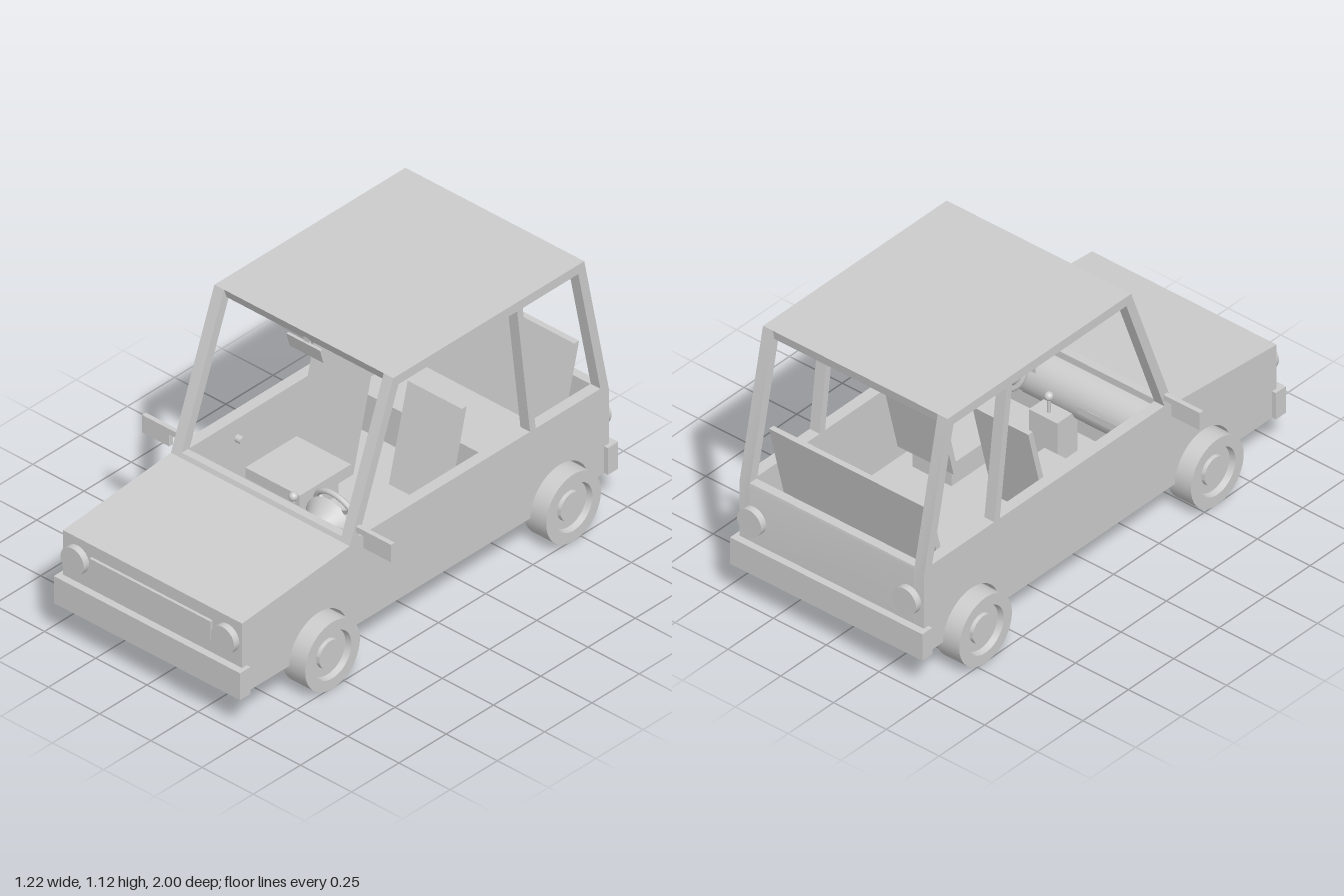
import * as THREE from 'three';
import { toCreasedNormals } from 'three/addons/utils/BufferGeometryUtils.js';

const grey = new THREE.MeshStandardMaterial({ color: 0xcccccc });
const ARCH_R = 0.155, AXLE_Y = 0.145, AXLES = [-0.71, 0.565];
const WIDTH = 0.437, INNER = 0.39;

export function createModel() {
  const car = new THREE.Group();
  car.name = 'car';

  const add = (name, geometry, x = 0, y = 0, z = 0) => {
    const mesh = new THREE.Mesh(geometry, grey);
    mesh.name = name;
    mesh.position.set(x, y, z);
    car.add(mesh);
    return mesh;
  };
  // Box given by its extents
  const box = (name, x0, x1, y0, y1, z0, z1) =>
    add(name, new THREE.BoxGeometry(x1 - x0, y1 - y0, z1 - z0), (x0 + x1) / 2, (y0 + y1) / 2, (z0 + z1) / 2);
  // Side profile drawn in (z, y) and extruded from x0 to x1
  const slab = (name, shape, x0, x1) => {
    const geo = new THREE.ExtrudeGeometry(shape, { depth: x1 - x0, bevelEnabled: false, curveSegments: 24 });
    geo.rotateY(-Math.PI / 2).translate(x1, 0, 0);
    return add(name, toCreasedNormals(geo, 0.5));
  };
  const poly = (pts) => new THREE.Shape(pts.map(([z, y]) => new THREE.Vector2(z, y)));
  // Underside from rear to front with the wheel arches cut out, then the given upper points
  const bodyProfile = (upper) => {
    const s = new THREE.Shape();
    s.moveTo(-0.97, AXLE_Y);
    for (const z of AXLES) {
      s.lineTo(z - ARCH_R, AXLE_Y);
      s.absarc(z, AXLE_Y, ARCH_R, Math.PI, 0, true);
    }
    s.lineTo(0.97, AXLE_Y);
    upper.forEach(([z, y]) => s.lineTo(z, y));
    s.closePath();
    return s;
  };

  // Side panels: lower body, pillars and window openings in one piece
  const side = bodyProfile([[0.97, 0.455], [0.4, 0.505], [0.17, 1.12], [-0.84, 1.12], [-0.97, 0.5]]);
  side.holes.push(
    poly([[0.352, 0.522], [0.143, 1.08], [-0.485, 1.08], [-0.553, 0.522]]),
    poly([[-0.515, 1.08], [-0.583, 0.522], [-0.925, 0.522], [-0.808, 1.08]]));
  slab('leftSidePanel', side, INNER, WIDTH);
  slab('rightSidePanel', side, -WIDTH, -INNER);

  // Middle of the body: bonnet, cowl, floor, rear seat step and tail
  slab('bodyCore', bodyProfile([
    [0.97, 0.455], [0.4, 0.505], [0.393, 0.523], [0.36, 0.523], [0.36, 0.49], [0.385, 0.47], [0.385, 0.18],
    [-0.52, 0.18], [-0.52, 0.32], [-0.93, 0.32], [-0.93, 0.515], [-0.967, 0.515], [-0.97, 0.5],
  ]), -INNER, INNER);
  slab('roof', poly([[0.17, 1.12], [0.155, 1.08], [-0.832, 1.08], [-0.84, 1.12]]), -INNER, INNER);

  // Bumpers, round lamps and panels at both ends
  for (const [end, s] of [['front', 1], ['rear', -1]]) {
    box(end + 'Bumper', -0.455, 0.455, 0.145, 0.262, Math.min(s * 0.945, s), Math.max(s * 0.945, s));
    for (const x of [-0.367, 0.367])
      add(end + 'Lamp', new THREE.CylinderGeometry(0.057, 0.057, 0.05, 32).rotateX(Math.PI / 2), x, 0.365, s * 0.973);
  }
  box('grille', -0.297, 0.293, 0.325, 0.403, 0.96, 0.982);

  // Wheels: hollow at the back, recessed rim with raised hub
  const wheelProfile = [
    [0, 0], [0.11, 0], [0.12, -0.055], [0.145, -0.055], [0.145, 0.055], [0.1, 0.055],
    [0.095, 0.03], [0.06, 0.03], [0.058, 0.045], [0, 0.045],
  ].map(([r, y]) => new THREE.Vector2(r, y));
  const wheelGeo = toCreasedNormals(new THREE.LatheGeometry(wheelProfile, 40), 0.5);
  for (const z of AXLES) for (const s of [-1, 1])
    add(z > 0 ? 'frontWheel' : 'rearWheel', wheelGeo, s * 0.45, AXLE_Y, z).rotation.z = -s * Math.PI / 2;

  // Door mirrors and window cranks
  for (const s of [-1, 1]) {
    const m = poly([[0.437, 0.55], [0.475, 0.55], [0.475, 0.498], [0.608, 0.498], [0.608, 0.574], [0.437, 0.574]]);
    const geo = new THREE.ExtrudeGeometry(m, { depth: 0.02, bevelEnabled: false });
    if (s < 0) geo.rotateY(Math.PI).translate(0, 0, 0.02);
    add('doorMirror', geo, 0, 0, 0.348);
    add('windowCrank', new THREE.CylinderGeometry(0.015, 0.015, 0.03, 16).rotateZ(Math.PI / 2), s * 0.378, 0.44, 0.1);
  }

  // Interior mirror, leaning with the windscreen
  slab('insideMirror', poly([[0.137, 1.008], [0.15, 1.008], [0.168, 1.07], [0.155, 1.07]]), -0.088, 0.077);
  box('mirrorStem', -0.013, 0.013, 1.06, 1.09, 0.145, 0.158);

  // Seats with leaning backs
  const seatBack = (name, z, y0, x0, x1) => {
    const at = (y) => z - (y - 0.52) * 0.25;
    slab(name, poly([[at(y0), y0], [at(0.72), 0.72], [at(0.72) - 0.025, 0.72], [at(y0) - 0.025, y0]]), x0, x1);
  };
  for (const [x0, x1] of [[-0.36, -0.095], [0.09, 0.355]]) {
    seatBack('frontSeatBack', -0.232, 0.27, x0, x1);
    box('frontSeatCushion', x0, x1, 0.27, 0.32, -0.19, 0.09);
    box('frontSeatBase', x0 + 0.04, x1 - 0.04, 0.17, 0.28, -0.16, 0.05);
  }
  seatBack('rearSeatBack', -0.81, 0.32, -0.375, 0.37);
  box('rearSeatCushion', -0.375, 0.37, 0.315, 0.365, -0.79, -0.5);

  // Dashboard, glove shelf, console and gear lever
  add('dashboard', new THREE.CylinderGeometry(0.1, 0.1, 2 * INNER, 32).rotateZ(Math.PI / 2), 0, 0.395, 0.365);
  box('gloveShelf', -0.365, -0.1, 0.38, 0.41, 0.265, 0.3);
  box('console', -0.07, 0.065, 0.17, 0.36, 0.19, 0.3);
  add('gearStick', new THREE.CylinderGeometry(0.007, 0.007, 0.08, 12), 0, 0.39, 0.225);
  add('gearKnob', new THREE.SphereGeometry(0.018, 16, 12), 0, 0.43, 0.225);

  // Instrument pod and steering wheel
  add('instrumentPod', new THREE.CylinderGeometry(0.05, 0.11, 0.07, 32).rotateX(Math.PI / 2), 0.22, 0.44, 0.315);
  const steering = new THREE.Group();
  steering.name = 'steeringWheel';
  steering.position.set(0.22, 0.468, 0.232);
  steering.rotation.x = 0.27;
  const part = (name, geo) => {
    const mesh = new THREE.Mesh(geo, grey);
    mesh.name = name;
    steering.add(mesh);
    return mesh;
  };
  part('steeringRim', new THREE.TorusGeometry(0.098, 0.011, 10, 40));
  part('steeringHub', new THREE.CylinderGeometry(0.025, 0.025, 0.02, 20).rotateX(Math.PI / 2));
  part('steeringColumn', new THREE.CylinderGeometry(0.015, 0.015, 0.08, 16).rotateX(Math.PI / 2).translate(0, 0, 0.045));
  for (let i = 0; i < 3; i++)
    part('steeringSpoke', new THREE.BoxGeometry(0.095, 0.016, 0.008).translate(0.048, 0, 0)).rotation.z =
      -Math.PI / 2 + i * Math.PI * 2 / 3;
  car.add(steering);

  return car;
}
